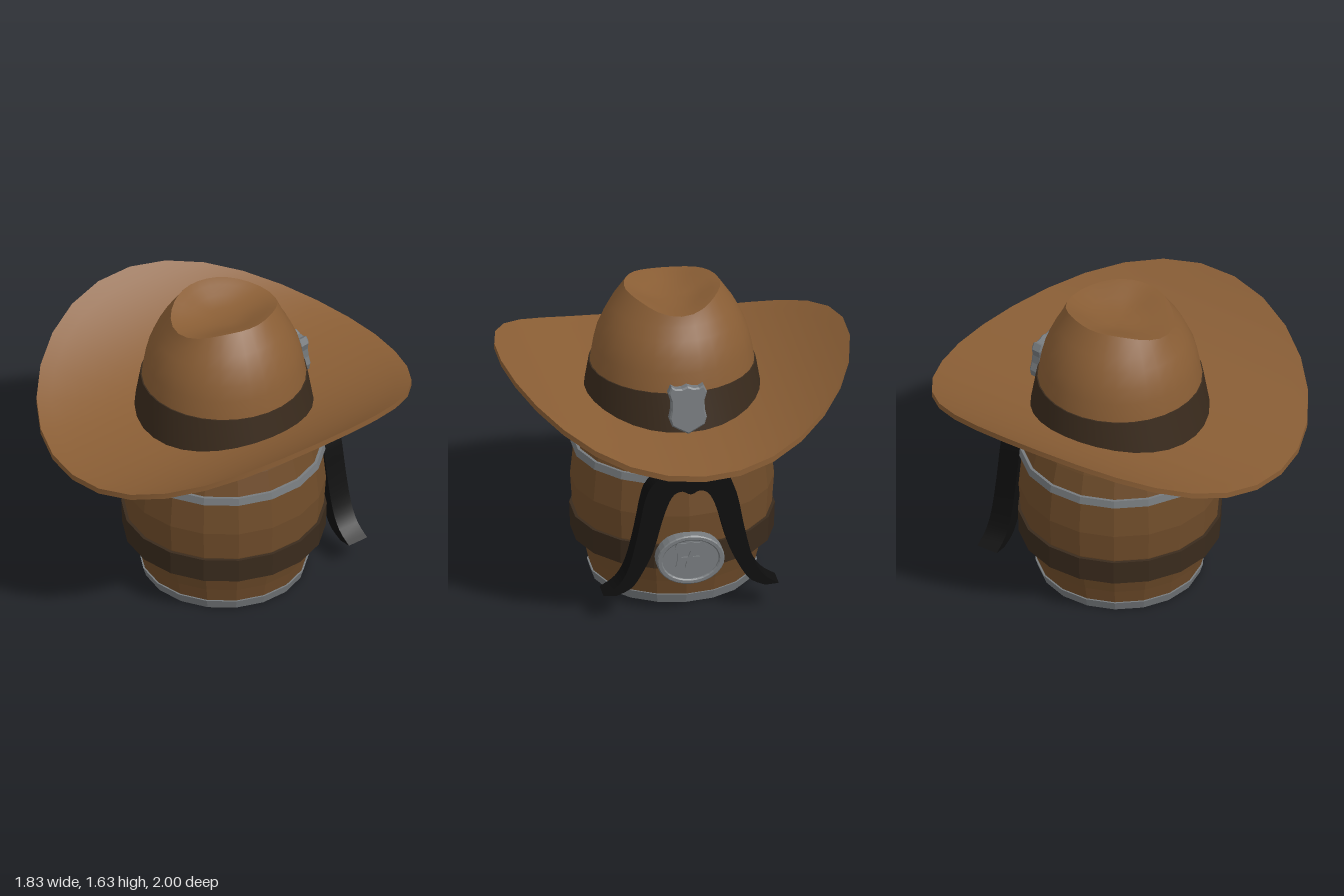
import * as THREE from 'three';
import { toCreasedNormals } from 'three/addons/utils/BufferGeometryUtils.js';

const mat = (color, flatShading = false, side = THREE.FrontSide) =>
  new THREE.MeshStandardMaterial({ color, flatShading, side, roughness: 0.85 });
const wood = mat(0x6f4c2a, true);
const darkWood = mat(0x3f2a18, true);
const metal = mat(0x777b7e, true);
const leather = mat(0x3a2b1d, true);
const felt = mat(0x8a5e35);
const feltDouble = mat(0x8a5e35, false, THREE.DoubleSide);
const black = mat(0x0e0e0e);

const v2 = ([x, y]) => new THREE.Vector2(x, y);

function add(parent, name, geometry, material) {
  const mesh = new THREE.Mesh(geometry, material);
  mesh.name = name;
  parent.add(mesh);
  return mesh;
}

const lathe = (points, sides) => new THREE.LatheGeometry(points.map(v2), sides);

// Closed rings of points: at(row, phi) returns [x, y, z], rows run outward
function ringSurface(rows, sides, at) {
  const pos = [], index = [];
  for (let i = 0; i < rows; i++)
    for (let j = 0; j < sides; j++) pos.push(...at(i, (j / sides) * Math.PI * 2));
  for (let i = 0; i < rows - 1; i++)
    for (let j = 0; j < sides; j++) {
      const k = (j + 1) % sides;
      const a = i * sides + j, b = a + sides, c = i * sides + k, d = c + sides;
      index.push(a, b, c, b, d, c);
    }
  const g = new THREE.BufferGeometry();
  g.setAttribute('position', new THREE.Float32BufferAttribute(pos, 3));
  g.setIndex(index);
  return toCreasedNormals(g, 0.9);
}

// Flat shape extruded backwards, its outer face at z = zFace
function slab(shape, zFace, depth, bevel = 0) {
  const g = new THREE.ExtrudeGeometry(shape, {
    depth: depth - bevel, bevelEnabled: bevel > 0, bevelSize: bevel,
    bevelThickness: bevel, bevelOffset: -bevel, bevelSegments: 1, curveSegments: 14,
  });
  return g.translate(0, 0, zFace + bevel);
}

// Mirrored shield outline, from top centre down to the point
function shieldShape(s) {
  const half = [[0, 0.13], [0.03, 0.118], [0.06, 0.118], [0.085, 0.132], [0.102, 0.095], [0.088, 0.05],
    [0.088, 0.0], [0.098, -0.045], [0.085, -0.085], [0.045, -0.108], [0, -0.132]];
  const mirror = half.slice(1, -1).reverse().map(([x, y]) => [-x, y]);
  return new THREE.Shape([...half, ...mirror].map(([x, y]) => new THREE.Vector2(x * s, y * s)));
}

function starShape(r) {
  const pts = [];
  for (let i = 0; i < 10; i++) {
    const a = (i / 10) * Math.PI * 2, q = i % 2 ? r * 0.42 : r;
    pts.push(new THREE.Vector2(Math.sin(a) * q, Math.cos(a) * q));
  }
  return new THREE.Shape(pts);
}

function ellipse(rx, ry) {
  return new THREE.Shape().absellipse(0, 0, rx, ry, 0, Math.PI * 2);
}

function buildBarrel() {
  const barrel = new THREE.Group();
  barrel.name = 'barrel';
  const N = 18;
  add(barrel, 'staves', lathe([[0.385, 0.035], [0.395, 0.005], [0.42, 0.005], [0.45, 0.13], [0.485, 0.25],
    [0.517, 0.38], [0.528, 0.54], [0.508, 0.74], [0.475, 0.87], [0.43, 1.0], [0, 1.0]], N), wood);
  // Hoops and belt as closed rings
  const ring = (name, y0, r0, y1, r1, m) => add(barrel, name,
    lathe([[r0 - 0.04, y0], [r0, y0], [r1, y1], [r1 - 0.04, y1]], N), m);
  ring('bottomHoop', 0, 0.425, 0.05, 0.44, metal);
  ring('topHoop', 0.72, 0.525, 0.76, 0.518, metal);
  ring('belt', 0.24, 0.527, 0.375, 0.532, leather);
  // Bottom planks cut to the round
  const R = 0.4, count = 8, w = (2 * R) / count;
  for (let i = 0; i < count; i++) {
    const lo = -R + i * w + 0.002, hi = lo + w - 0.004, right = [];
    for (let k = 0; k <= 4; k++) {
      const y = lo + ((hi - lo) * k) / 4;
      right.push([Math.sqrt(R * R - y * y), y]);
    }
    const left = right.slice().reverse().map(([x, y]) => [-x, y]);
    const g = new THREE.ExtrudeGeometry(new THREE.Shape([...right, ...left].map(v2)),
      { depth: 0.02, bevelEnabled: false });
    add(barrel, 'bottomPlank', g.rotateX(-Math.PI / 2).translate(0, 0.022, 0), darkWood);
  }
  return barrel;
}

function buildHat() {
  const hat = new THREE.Group();
  hat.name = 'hat';
  const N = 30, lerp = THREE.MathUtils.lerp;

  // Brim rolled up on both sides: top face outward, then underside inward
  const steps = 8;
  add(hat, 'brim', ringSurface(2 * steps + 2, N, (i, p) => {
    const top = i <= steps;
    const t = (top ? i : 2 * steps + 1 - i) / steps;
    const x = Math.sin(p) * lerp(0.38, 0.92, t), z = Math.cos(p) * lerp(0.38, 1, t);
    const y = 0.96 + 0.32 * Math.pow(Math.abs(x) / 0.92, 2.2);
    return [x, y + (top ? 0.032 : 0), z];
  }), feltDouble);

  // Crown: dished top, a rim that dips at front and back, then the wall
  const dish = [[0.001, 1], [0.3, 0.93], [0.6, 0.6], [0.82, 0.22], [1, 0]];
  const wall = [[0.32, 1.525], [0.355, 1.46], [0.39, 1.38], [0.41, 1.3], [0.428, 1.19], [0.45, 1.0]];
  add(hat, 'crown', ringSurface(dish.length + wall.length, N, (i, p) => {
    const dip = Math.pow(Math.cos(p), 4);
    const rimR = 0.25 + 0.05 * dip, rimY = 1.627 - 0.05 * dip;
    let r, y;
    if (i < dish.length) {
      r = rimR * dish[i][0];
      y = lerp(rimY, 1.55, dish[i][1]);
    } else [r, y] = wall[i - dish.length];
    return [Math.sin(p) * r, y, Math.cos(p) * r];
  }), felt);

  add(hat, 'hatBand', toCreasedNormals(
    lathe([[0.47, 0.98], [0.433, 1.2], [0.41, 1.2]], N), 0.6), mat(0x3a2b1d));

  const badge = add(hat, 'hatBadge', slab(shieldShape(1), -0.025, 0.05, 0.008), metal);
  badge.position.set(0, 1.13, -0.47);
  badge.rotation.x = 0.1;
  return hat;
}

// Drooping moustache: upper and lower edges from tip to tip
function buildMoustache() {
  const upper = [[0, 0.765], [0.06, 0.785], [0.12, 0.8], [0.19, 0.77], [0.24, 0.68], [0.28, 0.48],
    [0.325, 0.3], [0.38, 0.2], [0.46, 0.145]];
  const lower = [[0, 0.69], [0.05, 0.71], [0.1, 0.68], [0.145, 0.57], [0.195, 0.39], [0.25, 0.27],
    [0.31, 0.18], [0.39, 0.14]];
  const edge = (half) => new THREE.SplineCurve(
    [...half.slice(1).reverse().map(([x, y]) => [-x, y]), ...half].map(v2)).getPoints(48);
  const shape = new THREE.Shape([...edge(lower), ...edge(upper).reverse()]);
  const mesh = new THREE.Mesh(toCreasedNormals(slab(shape, -0.58, 0.12), 0.6), black);
  mesh.name = 'moustache';
  return mesh;
}

// Oval buckle with raised rim, framed shield and star
function buildBuckle() {
  const buckle = new THREE.Group();
  buckle.name = 'beltBuckle';
  add(buckle, 'buckleBase', slab(ellipse(0.17, 0.132), -0.03, 0.07), metal);
  const rim = ellipse(0.178, 0.138);
  rim.holes.push(ellipse(0.148, 0.111));
  add(buckle, 'buckleRim', slab(rim, -0.045, 0.075, 0.006), metal);
  const frame = shieldShape(0.8);
  frame.holes.push(shieldShape(0.66));
  add(buckle, 'buckleShield', slab(frame, -0.041, 0.02), metal);
  add(buckle, 'buckleStar', slab(starShape(0.05), -0.041, 0.02), metal);
  buckle.position.set(0, 0.31, -0.53);
  return buckle;
}

export function createModel() {
  const model = new THREE.Group();
  model.name = 'barrelWithHat';
  model.add(buildBarrel(), buildHat(), buildMoustache(), buildBuckle());
  return model;
}
